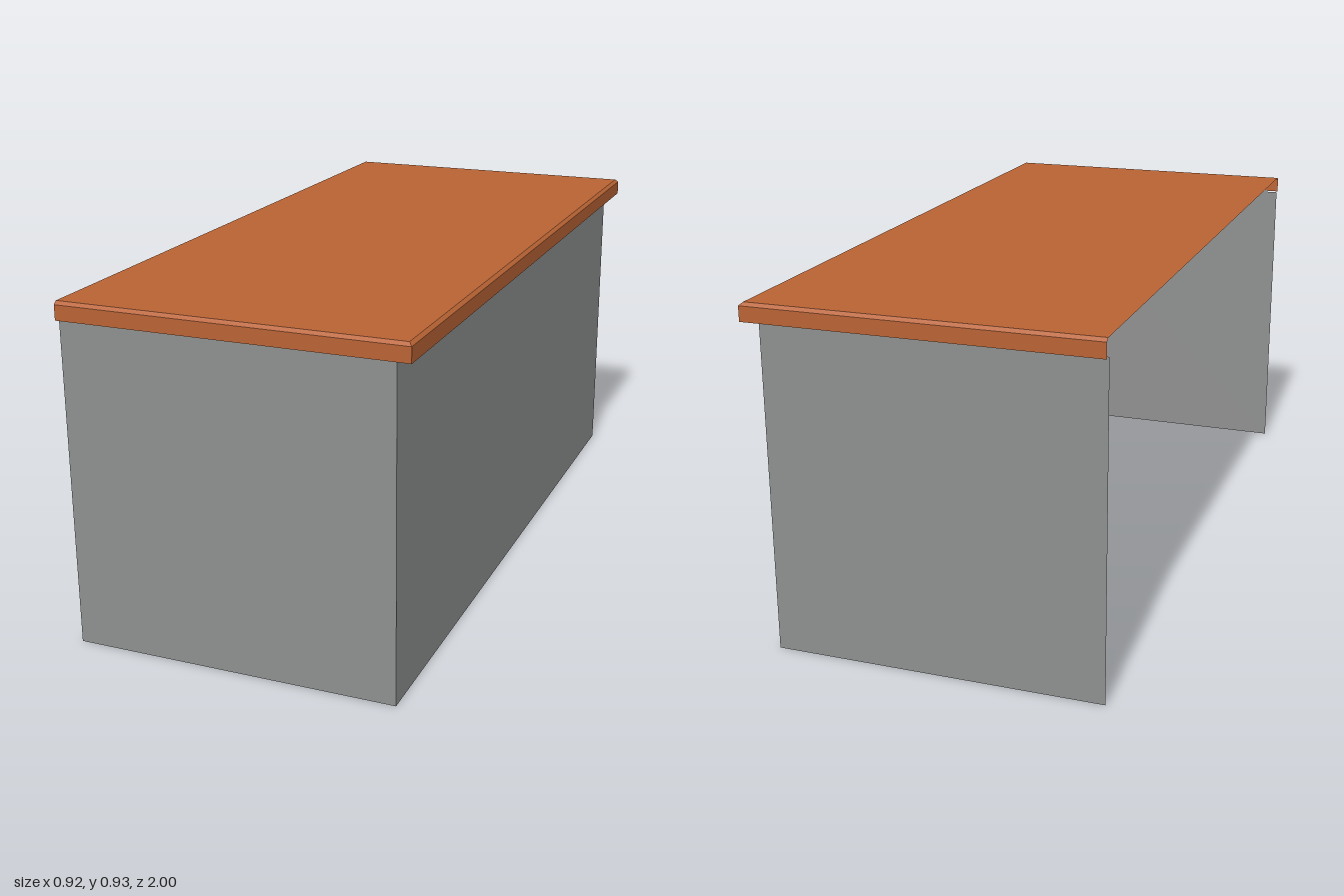
import * as THREE from 'three';

const orange = new THREE.MeshStandardMaterial({ color: 0xb96334, side: THREE.DoubleSide });
orange.name = 'orange worktop';
const grey = new THREE.MeshStandardMaterial({ color: 0x8e908f, side: THREE.DoubleSide });
grey.name = 'grey panel';

const OPEN_X = -0.46; // open side of the desk

// Joins U-shaped section lines (open on the -x side) into flat quads
function skirt(sections) {
  const pos = [];
  for (let s = 0; s < sections.length - 1; s++) {
    const a = sections[s], b = sections[s + 1];
    for (let i = 0; i < a.length - 1; i++) {
      pos.push(...a[i], ...b[i + 1], ...a[i + 1], ...a[i], ...b[i], ...b[i + 1]);
    }
  }
  const g = new THREE.BufferGeometry();
  g.setAttribute('position', new THREE.Float32BufferAttribute(pos, 3));
  g.computeVertexNormals();
  return g;
}

// Path from back edge round the +x side to the front edge
const uPath = (x, z, y) => [[OPEN_X, y, -z], [x, y, -z], [x, y, z], [OPEN_X, y, z]];

function mesh(name, geometry, material, parent) {
  const m = new THREE.Mesh(geometry, material);
  m.name = name;
  parent.add(m);
  return m;
}

export function createModel() {
  const desk = new THREE.Group();
  desk.name = 'desk';

  // Worktop: hollow shell with a vertical rim and a small bevel on three sides
  const worktop = new THREE.Group();
  worktop.name = 'worktop';
  desk.add(worktop);
  const rim = skirt([uPath(0.46, 1, 0.879), uPath(0.46, 1, 0.919), uPath(0.451, 0.99, 0.927)]);
  // reverse the winding so the rim faces outwards
  const p = rim.attributes.position.array;
  for (let i = 0; i < p.length; i += 9) {
    for (let k = 0; k < 3; k++) [p[i + 3 + k], p[i + 6 + k]] = [p[i + 6 + k], p[i + 3 + k]];
  }
  rim.computeVertexNormals();
  // flip whole shell only if the bevel normals point down
  const n = rim.attributes.normal;
  if (n.getY(n.count - 1) < 0) {
    for (let i = 0; i < p.length; i += 9) {
      for (let k = 0; k < 3; k++) [p[i + 3 + k], p[i + 6 + k]] = [p[i + 6 + k], p[i + 3 + k]];
    }
    rim.computeVertexNormals();
  }
  mesh('worktopRim', rim, orange, worktop);
  const top = mesh('worktopSurface', new THREE.PlaneGeometry(0.911, 1.98), orange, worktop);
  top.rotation.x = -Math.PI / 2;
  top.position.set((OPEN_X + 0.451) / 2, 0.927, 0);

  // Thin support panels: one at each end and a long one along the +x side
  const H = 0.879, SIDE_X = 0.419, FRONT_Z = 0.983, BACK_Z = -0.979;
  for (const [name, z, turn] of [['frontPanel', FRONT_Z, 0], ['backPanel', BACK_Z, Math.PI]]) {
    const panel = mesh(name, new THREE.PlaneGeometry(SIDE_X - OPEN_X, H), grey, desk);
    panel.position.set((SIDE_X + OPEN_X) / 2, H / 2, z);
    panel.rotation.y = turn;
  }
  const side = mesh('sidePanel', new THREE.PlaneGeometry(FRONT_Z - BACK_Z, H), grey, desk);
  side.position.set(SIDE_X, H / 2, (FRONT_Z + BACK_Z) / 2);
  side.rotation.y = Math.PI / 2;

  return desk;
}
